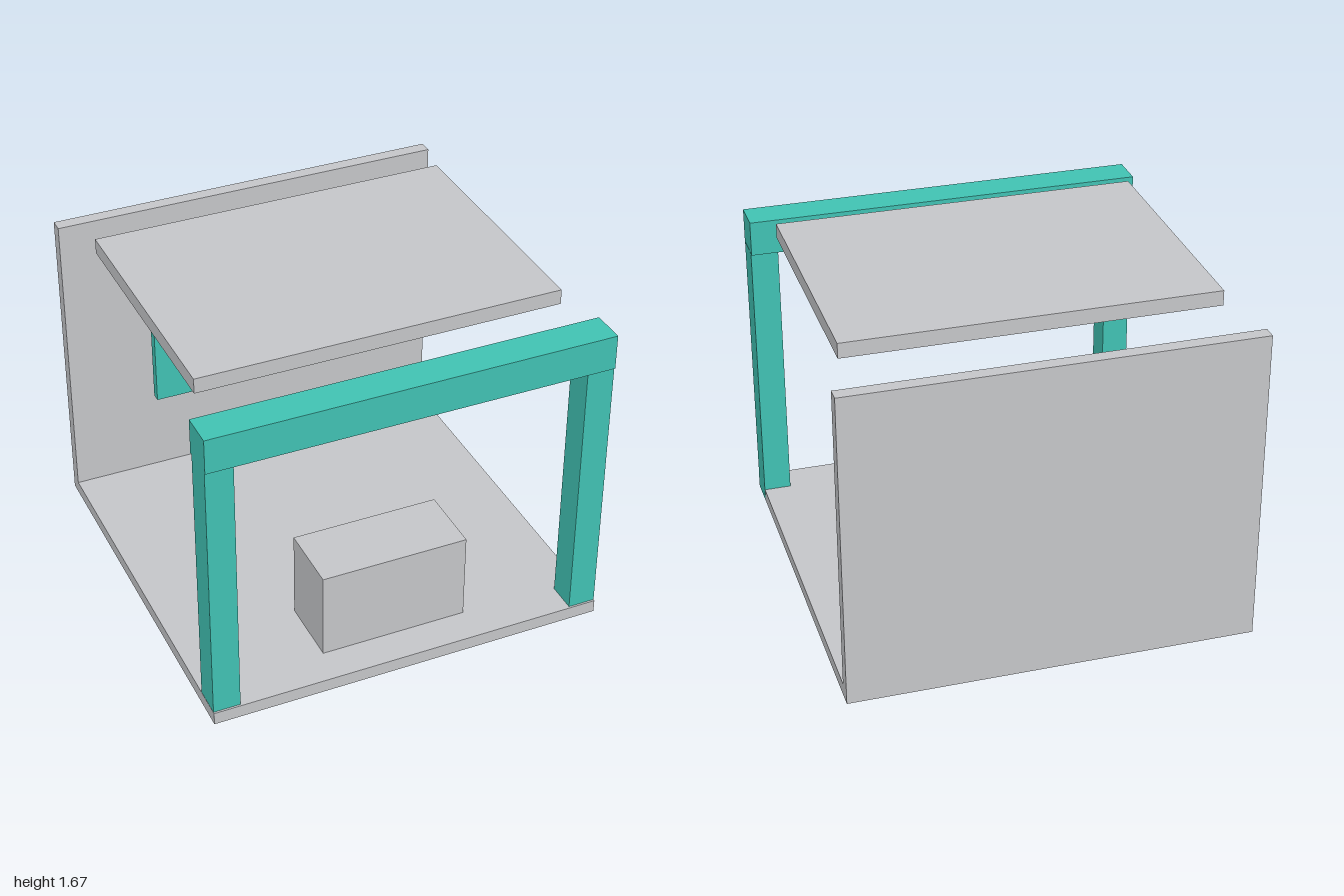
import * as THREE from 'three';

export function createModel() {
  const group = new THREE.Group();
  const material = (name, color) => {
    const m = new THREE.MeshStandardMaterial({ color });
    m.name = name;
    return m;
  };
  const grey = material('light grey', 0xc5c6c9);
  const teal = material('teal', 0x41c2b3);
  const slate = material('slate blue', 0x476a7d);

  // Box given by its extents along each axis
  const box = (name, mat, [x0, x1], [y0, y1], [z0, z1]) => {
    const mesh = new THREE.Mesh(new THREE.BoxGeometry(x1 - x0, y1 - y0, z1 - z0), mat);
    mesh.position.set((x0 + x1) / 2, (y0 + y1) / 2, (z0 + z1) / 2);
    mesh.name = name;
    group.add(mesh);
  };

  // Booth shell
  box('floor', grey, [-0.995, 0.995], [0, 0.065], [-1, 1]);
  box('backWall', grey, [-0.995, 0.995], [0.065, 1.595], [-1, -0.932]);
  box('lowerBackWall', grey, [-0.994, 0.994], [0.01, 0.07], [-0.999, -0.933]);
  box('canopy', grey, [-0.9, 0.9], [1.59, 1.665], [-0.65, 0.643]);

  // Front gate: two posts reaching through the floor and a beam
  box('leftPost', teal, [0.86, 0.996], [0.001, 1.43], [0.84, 0.99]);
  box('rightPost', teal, [-0.994, -0.86], [-0.001, 1.43], [0.84, 0.99]);
  box('beam', teal, [-0.995, 0.995], [1.425, 1.6], [0.828, 1]);

  // Counter behind the gate
  box('counter', grey, [-0.37, 0.37], [0.06, 0.512], [0.475, 0.82]);

  // Hanging panel with its backing board
  box('panel', teal, [-0.568, 0.568], [0.53, 1.322], [-0.884, -0.837]);
  box('panelBacking', slate, [-0.545, 0.545], [0.57, 1.28], [-0.912, -0.883]);

  return group;
}
